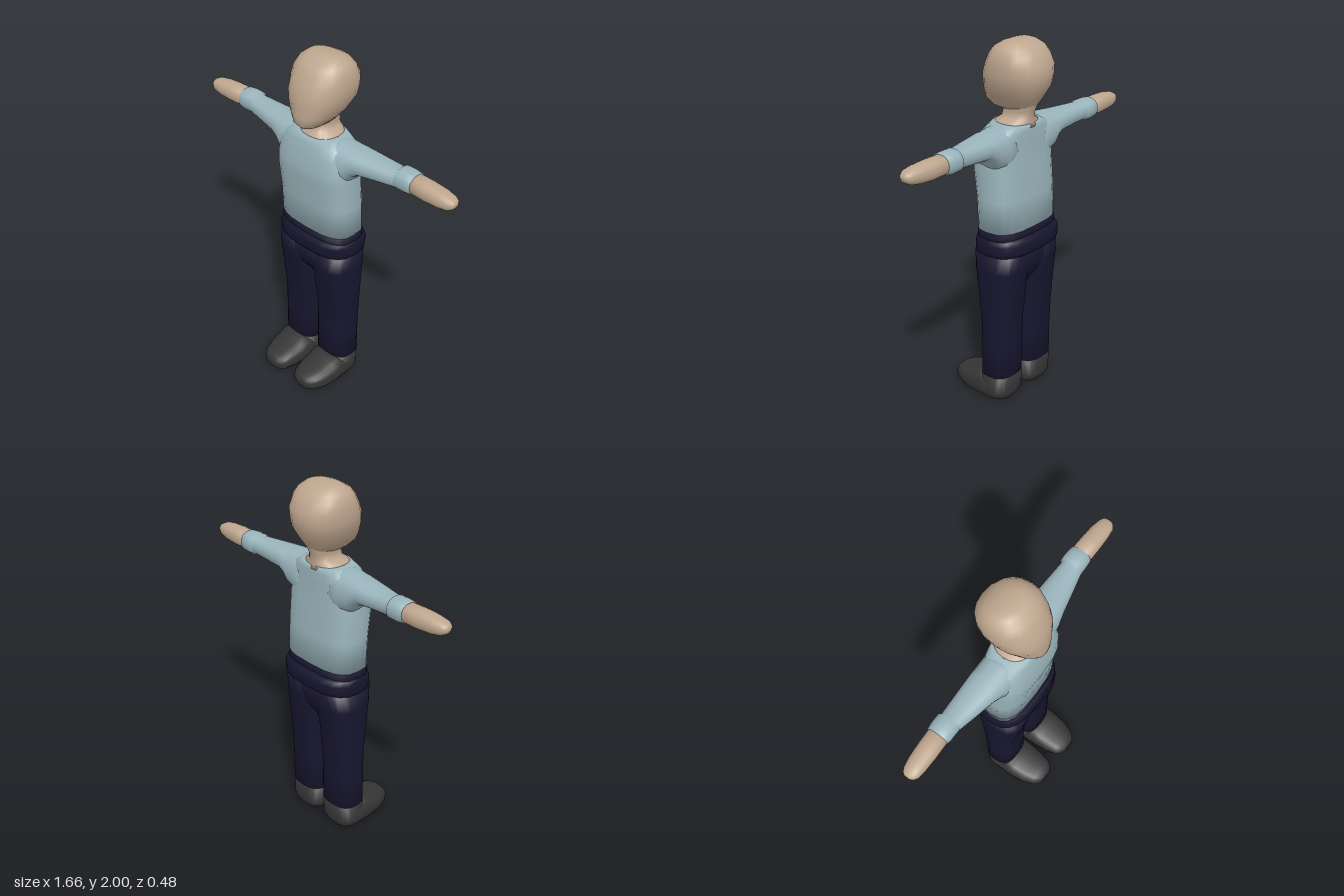
import * as THREE from 'three';

const SKIN = 0xbfa78f, SHIRT = 0x9ab4bc, PANTS = 0x17152e, SHOE = 0x353535;
const SEGMENTS = 20;

// Closed smooth skin over superellipse sections [t, u0, u1, v0, v1, power],
// with (u, v) = (z, x) along y, (y, z) along x and (x, y) along z.
function loft(axis, sections) {
  const place = {
    x: (t, u, v) => [t, u, v],
    y: (t, u, v) => [v, t, u],
    z: (t, u, v) => [u, v, t],
  }[axis];
  const pos = [], index = [];
  const bend = (c, n) => Math.sign(c) * Math.abs(c) ** (2 / n);
  for (const [t, u0, u1, v0, v1, n = 2.3] of sections) {
    for (let i = 0; i < SEGMENTS; i++) {
      const a = (i / SEGMENTS) * Math.PI * 2;
      pos.push(...place(t,
        (u0 + u1) / 2 + (u1 - u0) / 2 * bend(Math.cos(a), n),
        (v0 + v1) / 2 + (v1 - v0) / 2 * bend(Math.sin(a), n)));
    }
  }
  const last = (sections.length - 1) * SEGMENTS;
  for (const s of [sections[0], sections[sections.length - 1]]) {
    pos.push(...place(s[0], (s[1] + s[2]) / 2, (s[3] + s[4]) / 2));
  }
  const start = last + SEGMENTS, end = start + 1;
  for (let i = 0; i < SEGMENTS; i++) {
    const j = (i + 1) % SEGMENTS;
    for (let r = 0; r < last; r += SEGMENTS) {
      const a = r + i, b = r + j, c = b + SEGMENTS, d = a + SEGMENTS;
      index.push(a, b, c, a, c, d);
    }
    index.push(start, j, i, end, last + i, last + j);
  }
  const geometry = new THREE.BufferGeometry();
  geometry.setAttribute('position', new THREE.Float32BufferAttribute(pos, 3));
  geometry.setIndex(index);
  geometry.computeVertexNormals();
  return geometry;
}

// Mirror across x = 0, turning the faces back outward
function mirrored(geometry) {
  const g = geometry.clone();
  const p = g.attributes.position, idx = g.index.array;
  for (let i = 0; i < p.count; i++) p.setX(i, -p.getX(i));
  for (let i = 0; i < idx.length; i += 3) [idx[i], idx[i + 1]] = [idx[i + 1], idx[i]];
  g.computeVertexNormals();
  return g;
}

export function createModel() {
  const model = new THREE.Group();
  model.name = 'figure';
  const materials = new Map();
  const add = (name, geometry, color) => {
    if (!materials.has(color)) materials.set(color, new THREE.MeshStandardMaterial({ color }));
    const mesh = new THREE.Mesh(geometry, materials.get(color));
    mesh.name = name;
    model.add(mesh);
  };
  const pair = (name, geometry, color) => {
    add('left' + name, geometry, color);
    add('right' + name, mirrored(geometry), color);
  };
  // Section symmetric in x: height, back, front, half width, power
  const level = (y, back, front, half, n) => [y, back, front, -half, half, n];

  // Head with the chin forward and a flattish crown
  add('head', loft('y', [
    level(1.635, -0.13, 0.05, 0.035),
    level(1.65, -0.155, 0.1, 0.06),
    level(1.68, -0.175, 0.125, 0.088),
    level(1.72, -0.2, 0.124, 0.118),
    level(1.78, -0.235, 0.12, 0.148),
    level(1.83, -0.24, 0.115, 0.158),
    level(1.88, -0.24, 0.096, 0.16),
    level(1.93, -0.213, 0.07, 0.153),
    level(1.965, -0.185, 0.044, 0.133),
    level(1.99, -0.14, 0, 0.1),
    level(2, -0.1, -0.03, 0.07),
  ]), SKIN);

  // Neck flaring into the shirt opening
  add('neck', loft('y', [
    level(1.56, -0.155, 0.06, 0.125),
    level(1.588, -0.153, 0.045, 0.105),
    level(1.602, -0.153, 0.025, 0.068),
    level(1.64, -0.158, 0.02, 0.058),
    level(1.7, -0.182, 0.03, 0.07),
    level(1.76, -0.2, 0.03, 0.09),
  ]), SKIN);

  // Shirt body
  add('shirt', loft('y', [
    level(1.03, -0.183, 0.072, 0.234, 3),
    level(1.2, -0.176, 0.08, 0.234, 3),
    level(1.35, -0.164, 0.1, 0.234, 3),
    level(1.42, -0.158, 0.098, 0.233, 3),
    level(1.5, -0.156, 0.082, 0.225, 2.8),
    level(1.55, -0.155, 0.068, 0.2, 2.6),
    level(1.582, -0.153, 0.056, 0.135, 2.3),
  ]), SHIRT);

  // Sleeves growing out of the shoulders, ending in a cuff
  pair('Sleeve', loft('x', [
    [0.08, 1.34, 1.584, -0.152, 0.065],
    [0.16, 1.35, 1.58, -0.151, 0.056],
    [0.225, 1.38, 1.574, -0.149, 0.044],
    [0.245, 1.415, 1.572, -0.147, 0.04],
    [0.29, 1.445, 1.568, -0.143, 0.029],
    [0.4, 1.455, 1.563, -0.138, 0.005],
    [0.49, 1.46, 1.56, -0.134, -0.016],
    [0.5, 1.457, 1.57, -0.144, -0.018],
    [0.55, 1.455, 1.571, -0.145, -0.019],
    [0.588, 1.459, 1.567, -0.141, -0.022],
    [0.592, 1.47, 1.557, -0.13, -0.033],
  ]), SHIRT);

  // Mitten hands
  pair('Hand', loft('x', [
    [0.57, 1.465, 1.562, -0.136, -0.026],
    [0.67, 1.461, 1.562, -0.133, -0.024],
    [0.75, 1.466, 1.557, -0.127, -0.025],
    [0.8, 1.476, 1.548, -0.117, -0.03],
    [0.822, 1.49, 1.537, -0.105, -0.044],
    [0.83, 1.502, 1.524, -0.09, -0.06],
  ]), SKIN);

  // Waist and the rolled band around it
  add('waist', loft('y', [
    level(0.97, -0.186, 0.074, 0.236, 3),
    level(1.032, -0.183, 0.072, 0.235, 3),
  ]), PANTS);
  add('waistband', loft('y', [
    level(0.892, -0.18, 0.07, 0.225, 2.8),
    level(0.903, -0.208, 0.09, 0.241, 2.7),
    level(0.925, -0.219, 0.097, 0.246, 2.7),
    level(0.965, -0.219, 0.097, 0.246, 2.7),
    level(0.988, -0.208, 0.09, 0.241, 2.7),
    level(0.998, -0.18, 0.07, 0.23, 2.8),
  ]), PANTS);

  // Hips closing above the crotch
  add('hips', loft('y', [
    level(0.66, -0.07, -0.04, 0.08, 2),
    level(0.69, -0.12, 0, 0.15, 2.5),
    level(0.77, -0.168, 0.06, 0.215, 3),
    level(0.83, -0.184, 0.079, 0.234, 3),
    level(0.91, -0.188, 0.082, 0.236, 3),
  ]), PANTS);

  // Trouser legs
  pair('Leg', loft('y', [
    [0.17, -0.146, 0.034, 0.01, 0.234, 2.7],
    [0.35, -0.147, 0.034, 0.01, 0.234, 2.7],
    [0.5, -0.153, 0.037, 0.01, 0.234, 2.7],
    [0.65, -0.168, 0.058, 0.004, 0.235, 2.7],
    [0.8, -0.185, 0.079, 0, 0.236, 2.7],
    [0.9, -0.188, 0.082, 0, 0.236, 2.7],
  ]), PANTS);

  // Shoes: heel and ankle, then the foot reaching forward
  pair('Heel', loft('y', [
    [0.008, -0.09, 0.03, 0.06, 0.18, 2.5],
    [0.025, -0.125, 0.034, 0.03, 0.215, 2.7],
    [0.06, -0.143, 0.034, 0.012, 0.233, 2.7],
    [0.172, -0.146, 0.034, 0.01, 0.234, 2.7],
  ]), SHOE);
  pair('Foot', loft('z', [
    [-0.1, 0.04, 0.2, 0.01, 0.12, 2.7],
    [-0.04, 0.012, 0.234, 0, 0.16, 2.7],
    [0.03, 0.01, 0.235, 0, 0.172, 2.7],
    [0.07, 0.012, 0.234, 0.003, 0.152, 2.7],
    [0.14, 0.018, 0.226, 0.01, 0.138, 2.7],
    [0.2, 0.032, 0.204, 0.022, 0.122, 2.6],
    [0.225, 0.05, 0.185, 0.03, 0.112, 2.5],
    [0.24, 0.08, 0.16, 0.045, 0.095, 2.3],
  ]), SHOE);

  return model;
}
